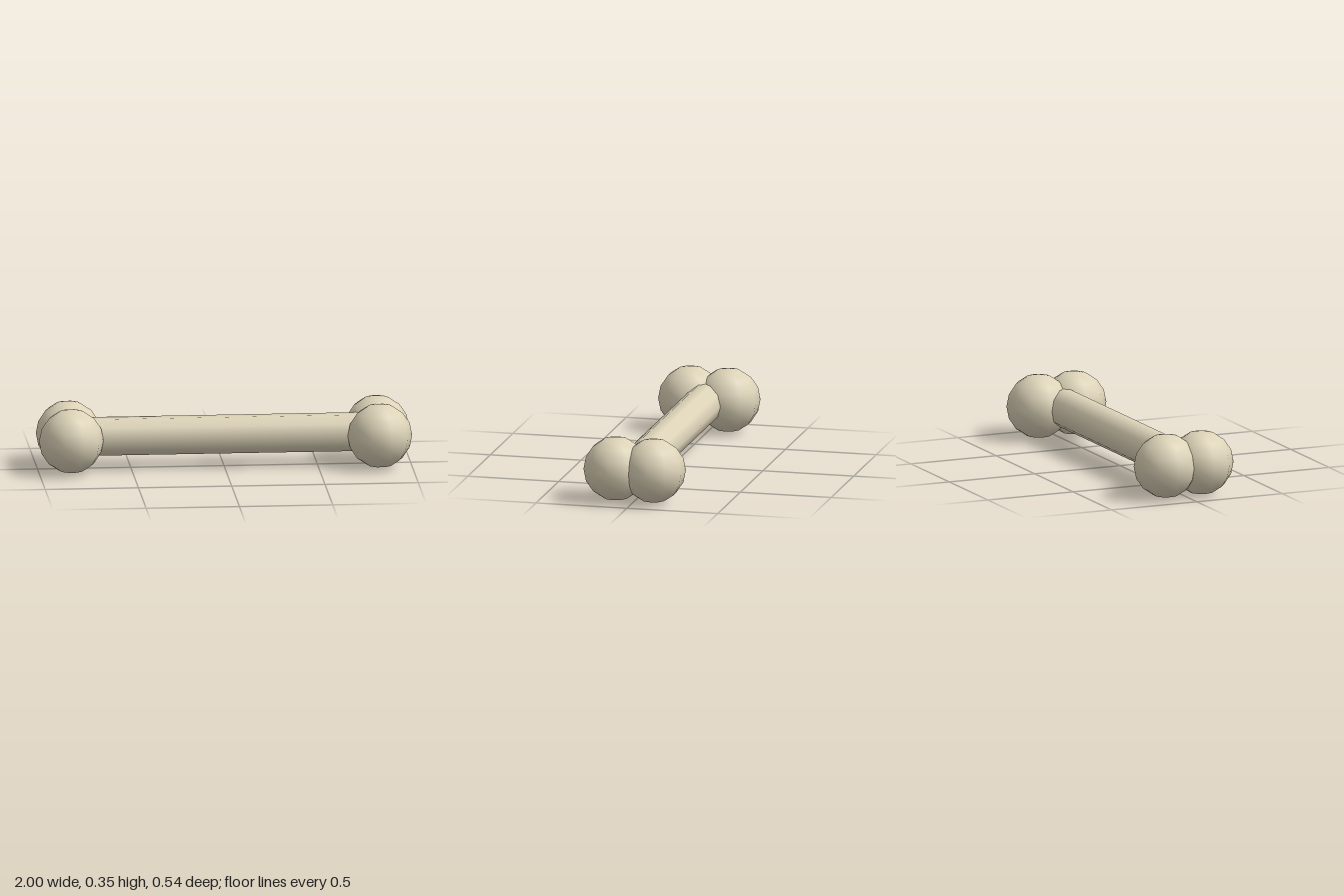
import * as THREE from 'three';

export function createModel() {
  const model = new THREE.Group();
  model.name = 'bone';
  const ivory = new THREE.MeshStandardMaterial({ color: 0xddd3b8 });
  ivory.name = 'ivory';

  const R = 0.173;        // knob radius
  const endX = 1 - R;     // knob centre along the bone
  const sideZ = 0.104;    // knob centre to the side, also the shaft radius

  // ten-sided shaft, ending inside the knobs
  const shaft = new THREE.Mesh(
    new THREE.CylinderGeometry(sideZ, sideZ, 2 * endX, 10).rotateZ(Math.PI / 2), ivory);
  shaft.name = 'shaft';
  shaft.position.y = R;
  model.add(shaft);

  // a pair of knobs at each end
  const knobGeometry = new THREE.SphereGeometry(R, 10, 8);
  for (const sx of [1, -1]) {
    const pair = new THREE.Group();
    pair.name = sx > 0 ? 'leftEnd' : 'rightEnd';
    for (const sz of [1, -1]) {
      const knob = new THREE.Mesh(knobGeometry, ivory);
      knob.name = sz > 0 ? 'frontKnob' : 'backKnob';
      knob.position.set(sx * endX, R, sz * sideZ);
      pair.add(knob);
    }
    model.add(pair);
  }
  return model;
}
